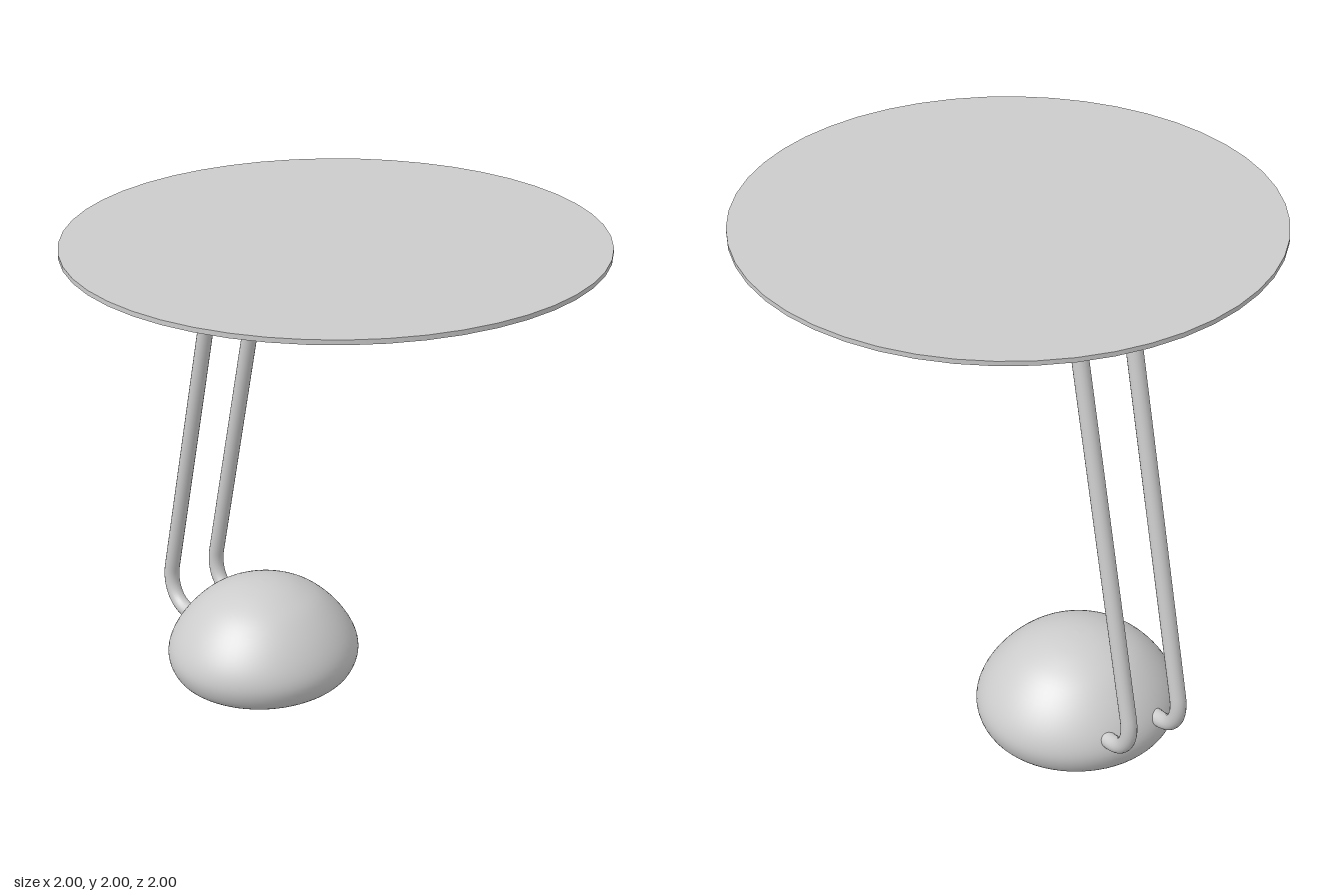
import * as THREE from 'three';

export function createModel() {
  const group = new THREE.Group();
  const metal = new THREE.MeshStandardMaterial({ color: 0xcccccc });
  const shellMetal = metal.clone();
  metal.name = 'satin grey';
  shellMetal.name = 'satin grey shell';
  shellMetal.side = THREE.DoubleSide;

  const add = (name, geometry, material = metal) => {
    const mesh = new THREE.Mesh(geometry, material);
    mesh.name = name;
    group.add(mesh);
    return mesh;
  };

  // Thin round table top
  add('tableTop', new THREE.CylinderGeometry(1, 1, 0.018, 48)).position.y = 1.991;

  // Support ring under the top, set towards the back
  const ring = add('supportRing', new THREE.TorusGeometry(0.44, 0.033, 20, 80));
  ring.rotation.x = Math.PI / 2;
  ring.position.set(0, 1.951, -0.104);

  // Hollow domed foot, open underneath
  const outline = new THREE.SplineCurve([
    [0.27, 0], [0.315, 0.01], [0.368, 0.05], [0.393, 0.12], [0.376, 0.195],
    [0.32, 0.28], [0.24, 0.355], [0.15, 0.402], [0.07, 0.424], [0, 0.43],
  ].map(([r, y]) => new THREE.Vector2(r, y)));
  const profile = outline.getPoints(40);
  profile[profile.length - 1].x = 0;
  const foot = add('foot', new THREE.LatheGeometry(profile, 64), shellMetal);
  foot.position.set(0.005, 0, -0.468);
  foot.scale.z = 0.968;

  // Pair of leaning rods that hook forward into the foot
  const v = (y, z) => new THREE.Vector3(0, y, z);
  const path = new THREE.CurvePath();
  path.add(new THREE.LineCurve3(v(1.945, -0.54), v(0.36, -0.924)));
  path.add(new THREE.CubicBezierCurve3(v(0.36, -0.924), v(0.27, -0.946), v(0.197, -0.9), v(0.19, -0.82)));
  path.add(new THREE.LineCurve3(v(0.19, -0.82), v(0.182, -0.75)));
  const rodGeometry = new THREE.TubeGeometry(path, 120, 0.031, 18);
  for (const side of [-1, 1]) {
    const x = side * 0.115;
    const label = side > 0 ? 'left' : 'right';
    add(label + 'Rod', rodGeometry).position.x = x;
    // Rounded rod ends
    for (const [end, y, z] of [['Top', 1.945, -0.54], ['Bottom', 0.182, -0.75]]) {
      add(label + 'Rod' + end + 'End', new THREE.SphereGeometry(0.031, 18, 12)).position.set(x, y, z);
    }
  }

  return group;
}
